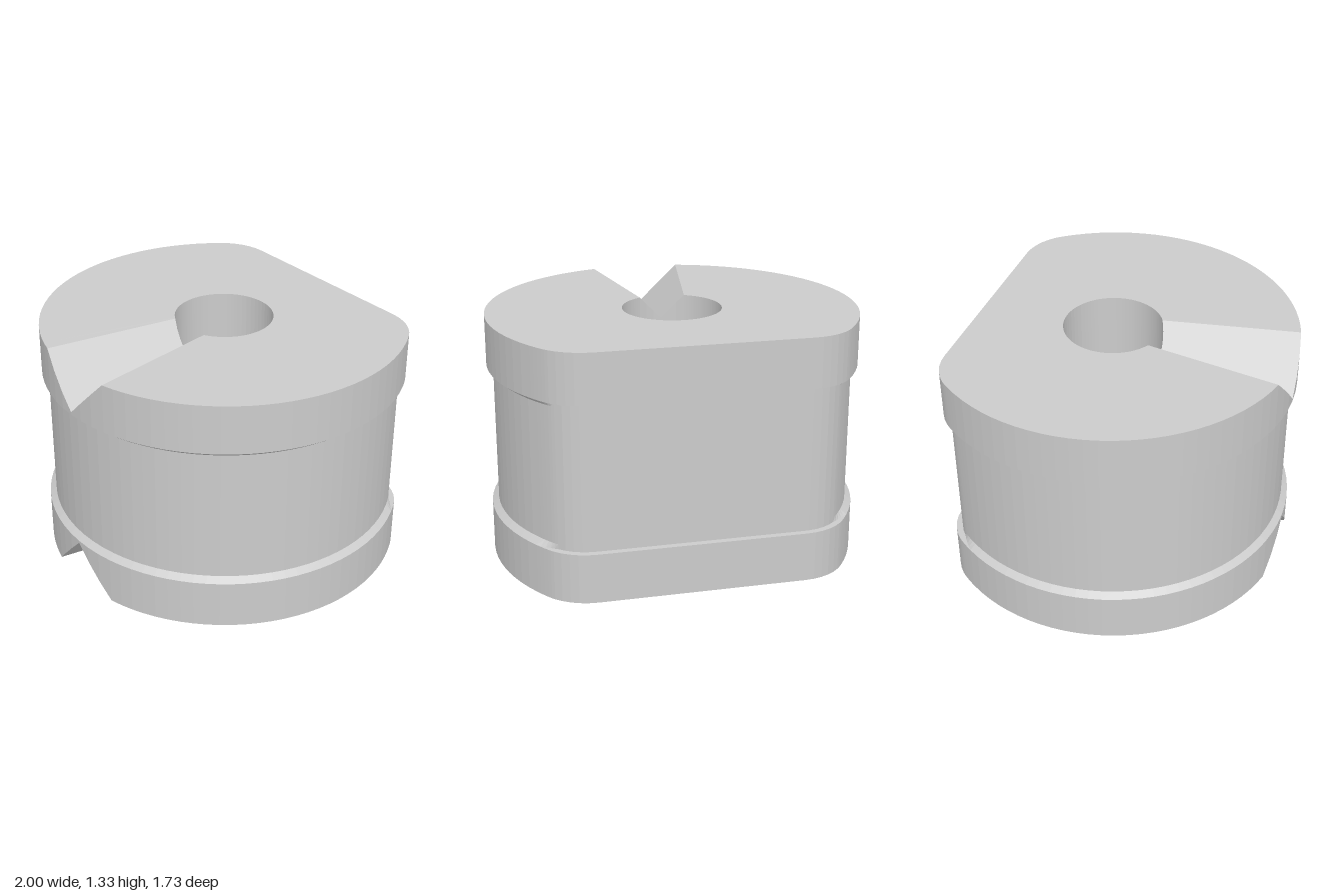
import * as THREE from 'three';

const H = 1.333, Z0 = -0.136, BORE = 0.268;
const FLAT = 0.728, FILLET = 0.3, INSET = 0.035;
const FX = 0.554, FZ = 0.428, FD = Math.hypot(FX, FZ); // corner fillet centre
const rad = THREE.MathUtils.degToRad;

// Matching angles (from the front) on the outline and on the bore: [outer, bore, segments]
const STOPS = [[0, 0, 0], [14.48, 27.8, 3], [122.9, 112, 27], [127.7, 120, 3],
  [130, 124, 2], [142.7, 145, 5], [180, 180, 6]];

function sampleAngles() {
  const half = [[0, 0]];
  for (let s = 1; s < STOPS.length; s++) {
    const [a0, b0] = STOPS[s - 1], [a1, b1, n] = STOPS[s];
    for (let k = 1; k <= n; k++) {
      half.push([rad(a0 + (a1 - a0) * k / n), rad(b0 + (b1 - b0) * k / n)]);
    }
  }
  const mirrored = half.slice(1).reverse().map(([a, b]) => [-a, -b]);
  return [...mirrored, ...half];
}

// Polar radius of the D-shaped outline, inset by o
function outlineRadius(angle, o) {
  const a = Math.abs(angle);
  const start = Math.atan2(FX, -FZ);
  if (a <= start) return 1 - o;
  if (a >= Math.atan2(FX, -(FLAT - o))) return (FLAT - o) / -Math.cos(a);
  const d = a - start, r = FILLET - o;
  return FD * Math.cos(d) + Math.sqrt(r * r - (FD * Math.sin(d)) ** 2);
}

const polar = (a, r) => [Math.sin(a) * r, Math.cos(a) * r + Z0];

// Depth of the tapering V-groove, at the front only
function grooveDepth(x, z) {
  return z > 0 ? Math.max(0, 0.25 + 0.171 * (z - 0.831) - Math.abs(x)) : 0;
}

// Lower-half section at one angle; the chamfer fades out at the back corners
function section([a, b]) {
  const [ix, iz] = polar(b, BORE);
  const outer = (o) => polar(a, outlineRadius(a, o));
  const fade = THREE.MathUtils.clamp((Math.abs(a) - rad(122.9)) / rad(7.1), 0, 1);
  const [ox, oz] = outer(0), [cx, cz] = outer(INSET * fade), [wx, wz] = outer(INSET);
  const lower = [
    [ix, grooveDepth(ix, iz), iz],
    [ox, grooveDepth(ox, oz), oz],
    [ox, 0.27, oz],
    [cx, 0.27, cz],
    [wx, 0.297, wz],
  ];
  const upper = lower.map(([x, y, z]) => [x, H - y, z]).reverse();
  return [...lower, ...upper, lower[0]];
}

export function createModel() {
  const group = new THREE.Group();
  const material = new THREE.MeshStandardMaterial({ color: 0xcccccc, flatShading: true });
  const sections = sampleAngles().map(section);

  // Skin the sections between two points of the profile
  function addPart(name, from, to) {
    const pos = [];
    const tri = (...pts) => {
      const [a, b, c] = pts.map((p) => new THREE.Vector3(...p));
      if (b.sub(a).cross(c.sub(a)).length() > 1e-9) pos.push(...pts.flat());
    };
    for (let i = 0; i < sections.length - 1; i++) {
      const s = sections[i], t = sections[i + 1];
      for (let j = from; j < to; j++) {
        tri(s[j], t[j], t[j + 1]);
        tri(s[j], t[j + 1], s[j + 1]);
      }
    }
    const geometry = new THREE.BufferGeometry();
    geometry.setAttribute('position', new THREE.Float32BufferAttribute(pos, 3));
    geometry.computeVertexNormals();
    const mesh = new THREE.Mesh(geometry, material);
    mesh.name = name;
    group.add(mesh);
  }

  addPart('lowerFlange', 0, 4);
  addPart('body', 4, 5);
  addPart('upperFlange', 5, 9);
  addPart('bore', 9, 10);

  group.name = 'notchedBushing';
  return group;
}
